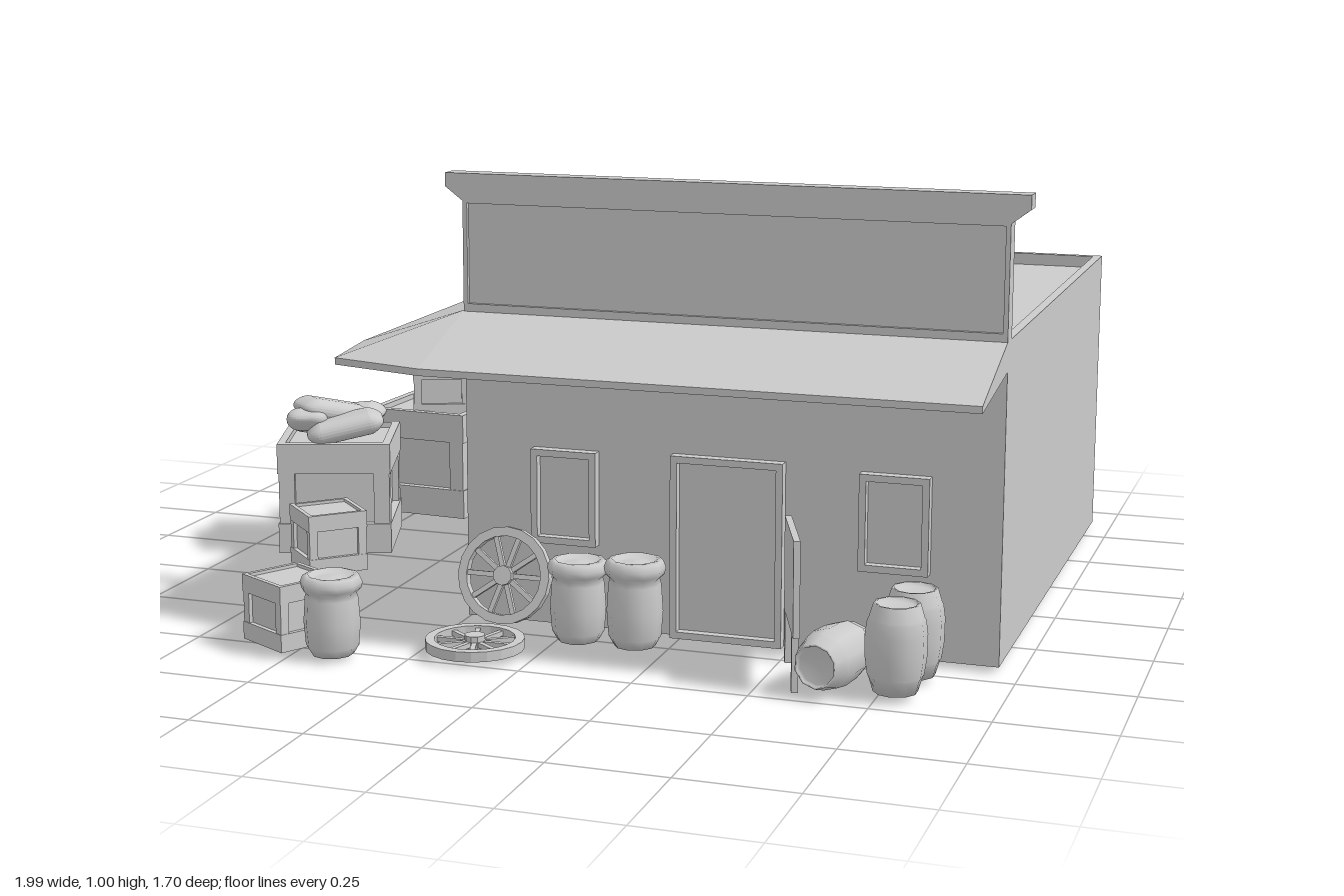
import * as THREE from 'three';
import { RoundedBoxGeometry } from 'three/addons/geometries/RoundedBoxGeometry.js';

const mat = new THREE.MeshStandardMaterial({ color: 0xcccccc, side: THREE.DoubleSide });
const flat = new THREE.MeshStandardMaterial({ color: 0xcccccc, side: THREE.DoubleSide, flatShading: true });

function add(parent, name, geo, x = 0, y = 0, z = 0, m = flat) {
  const mesh = new THREE.Mesh(geo, m);
  mesh.name = name;
  mesh.position.set(x, y, z);
  parent.add(mesh);
  return mesh;
}
function group(parent, name, x = 0, y = 0, z = 0, ry = 0) {
  const g = new THREE.Group();
  g.name = name;
  g.position.set(x, y, z);
  g.rotation.y = ry;
  parent.add(g);
  return g;
}
// Box given by its lower and upper corners
function box(parent, name, x0, x1, y0, y1, z0, z1) {
  return add(parent, name, new THREE.BoxGeometry(x1 - x0, y1 - y0, z1 - z0),
    (x0 + x1) / 2, (y0 + y1) / 2, (z0 + z1) / 2);
}
const poly = (pts) => new THREE.Shape(pts.map(([x, y]) => new THREE.Vector2(x, y)));
const rect = (x0, x1, y0, y1) => poly([[x0, y0], [x1, y0], [x1, y1], [x0, y1]]);
function ring(outer, hole, depth) {
  outer.holes.push(hole);
  return new THREE.ExtrudeGeometry(outer, { depth, bevelEnabled: false });
}

// Raised frame with a recessed panel, facing +z
function framedOpening(parent, name, w, h, x, y, z, ry = 0, trim = 0.015) {
  const g = group(parent, name, x, y, z, ry);
  add(g, 'frame', ring(rect(-w / 2, w / 2, 0, h), rect(-w / 2 + trim, w / 2 - trim, trim, h - trim), 0.055), 0, 0, -0.03);
  box(g, 'panel', -w / 2 + trim, w / 2 - trim, trim, h - trim, -0.026, 0.004);
  return g;
}

// Sloping canopy that wraps the front and one side, swept through wedge sections
function awningGeometry() {
  const inner = [[-0.24, -0.85], [-0.24, 0.44], [-0.24, 0.44], [-0.24, 0.44], [0.955, 0.44]];
  const outer = [[-0.49, -0.85], [-0.49, 0.43], [-0.46, 0.64], [-0.24, 0.7], [0.955, 0.7]];
  const pos = [], idx = [];
  inner.forEach(([ix, iz], i) => {
    const [ox, oz] = outer[i];
    pos.push(ix, 0.705, iz, ox, 0.62, oz, ox, 0.605, oz, ix, 0.64, iz);
  });
  for (let s = 0; s < 4; s++) for (let k = 0; k < 4; k++) {
    const a = s * 4 + k, b = s * 4 + (k + 1) % 4;
    idx.push(a, b, b + 4, a, b + 4, a + 4);
  }
  idx.push(0, 2, 1, 0, 3, 2, 16, 17, 18, 16, 18, 19);
  const g = new THREE.BufferGeometry();
  g.setAttribute('position', new THREE.Float32BufferAttribute(pos, 3));
  g.setIndex(idx);
  const out = g.toNonIndexed();
  out.computeVertexNormals();
  return out;
}

// Crate: wide bands at bottom and top, corner posts, sunken lid
function crate(parent, x, y, z, s, h, ry) {
  const g = group(parent, 'crate', x, y, z, ry);
  const r = s / 2, t = s * 0.07, i = r - t, band = h * 0.27;
  box(g, 'body', -i, i, 0.004, h - t * 0.7, -i, i);
  for (const y0 of [0, h - band])
    add(g, 'band', ring(rect(-r, r, -r, r), rect(-i, i, -i, i), band), 0, y0 + band, 0).rotation.x = Math.PI / 2;
  for (const sx of [-1, 1]) for (const sz of [-1, 1])
    add(g, 'cornerPost', new THREE.BoxGeometry(s * 0.14, h - band, s * 0.14), sx * (r - s * 0.08), h / 2, sz * (r - s * 0.08));
}

const lathe = (pts, n) => new THREE.LatheGeometry(pts.map(([x, y]) => new THREE.Vector2(x, y)), n);
const barrelGeo = lathe([[0, 0], [0.046, 0], [0.055, 0.03], [0.058, 0.035], [0.063, 0.07], [0.064, 0.12], [0.06, 0.15],
  [0.057, 0.155], [0.048, 0.185], [0.043, 0.185], [0.041, 0.175], [0, 0.175]], 10);
const sackGeo = lathe([[0, 0], [0.045, 0], [0.057, 0.02], [0.061, 0.07], [0.057, 0.125], [0.054, 0.135], [0.064, 0.145],
  [0.067, 0.158], [0.061, 0.172], [0.05, 0.175], [0.045, 0.165], [0.025, 0.168], [0, 0.17]], 10);

// Spoked cart wheel lying in its own xy plane
function wheel(parent, name, x, y, z, rx) {
  const g = group(parent, name, x, y, z);
  g.rotation.x = rx;
  const rim = new THREE.Shape().absarc(0, 0, 0.107, 0, Math.PI * 2);
  const hole = new THREE.Path().absarc(0, 0, 0.087, 0, Math.PI * 2);
  add(g, 'rim', new THREE.ExtrudeGeometry(rim, { depth: 0.022, bevelEnabled: false, curveSegments: 10 }), 0, 0, -0.011)
    .geometry = (rim.holes.push(hole), new THREE.ExtrudeGeometry(rim, { depth: 0.022, bevelEnabled: false, curveSegments: 10 }));
  add(g, 'hub', new THREE.CylinderGeometry(0.022, 0.022, 0.036, 10)).rotation.x = Math.PI / 2;
  for (let i = 0; i < 10; i++) {
    const a = i * Math.PI / 5;
    add(g, 'spoke', new THREE.BoxGeometry(0.075, 0.011, 0.011), 0.053 * Math.cos(a), 0.053 * Math.sin(a), 0).rotation.z = a;
  }
}

export function createModel() {
  const model = new THREE.Group();
  model.name = 'store';

  // Hollow building with a sunken roof behind a low rim
  const house = group(model, 'building');
  add(house, 'walls', ring(rect(-0.24, 0.955, -0.44, 0.85), rect(-0.22, 0.935, -0.42, 0.83), 0.69), 0, 0.013, 0).rotation.x = -Math.PI / 2;
  box(house, 'roof', -0.22, 0.935, 0.655, 0.675, -0.83, 0.42);
  box(house, 'roofRim', -0.22, 0.935, 0.675, 0.703, 0.38, 0.42);

  // Tall false front with flared cornice and recessed panel
  const front = poly([[-0.24, 0.69], [0.955, 0.69], [0.955, 0.945], [0.995, 0.975], [0.995, 1.005], [-0.28, 1.005], [-0.28, 0.975], [-0.24, 0.945]]);
  add(house, 'falseFront', ring(front, rect(-0.23, 0.945, 0.72, 0.94), 0.045), 0, 0, 0.402);
  box(house, 'falseFrontPanel', -0.23, 0.945, 0.72, 0.94, 0.404, 0.438);
  add(house, 'awning', awningGeometry());

  // Doors and windows
  framedOpening(house, 'frontDoor', 0.25, 0.405, 0.365, 0.013, 0.44);
  for (const x of [-0.005, 0.73]) framedOpening(house, 'window', 0.15, 0.21, x, 0.2, 0.44);
  framedOpening(house, 'sideDoor', 0.22, 0.4, -0.24, 0.11, -0.64, -Math.PI / 2);

  // Side porch: deck, steps and railing on two sides
  const porch = group(model, 'sidePorch');
  box(porch, 'deck', -0.44, -0.24, 0.085, 0.11, -0.8, -0.48);
  box(porch, 'step', -0.42, -0.24, 0.045, 0.062, -0.48, -0.41);
  box(porch, 'step', -0.42, -0.24, 0.013, 0.026, -0.41, -0.34);
  for (const y of [0.1, 0.305]) {
    box(porch, 'rail', -0.445, -0.24, y, y + 0.018, -0.8, -0.78);
    box(porch, 'rail', -0.445, -0.425, y, y + 0.018, -0.8, -0.48);
  }
  const baluster = (x, z, y0) => box(porch, 'baluster', x - 0.008, x + 0.008, y0, 0.315, z - 0.008, z + 0.008);
  for (let i = 0; i < 5; i++) baluster(-0.435 + i * 0.043, -0.79, i ? 0.05 : 0.013);
  for (let i = 1; i < 8; i++) baluster(-0.435, -0.79 + i * 0.043, i === 7 ? 0.013 : 0.05);

  // Crates: x, y, z, size, height, turn
  for (const c of [
    [-0.695, 0.013, -0.745, 0.148, 0.145, 0.42], [-0.71, 0.013, -0.495, 0.27, 0.272, -0.07],
    [-0.695, 0.262, -0.472, 0.147, 0.14, 0.42], [-0.897, 0.013, -0.298, 0.143, 0.145, -0.74],
    [-0.797, 0.013, -0.07, 0.275, 0.272, 0.33], [-0.715, 0.013, 0.172, 0.145, 0.145, 0.78],
    [-0.533, 0.013, 0.738, 0.145, 0.145, -0.51]]) crate(model, ...c);

  // Stuffed bags on the large crate: x, y, z, length, width, turn, tilt
  for (const [x, y, z, l, w, ry, rz] of [
    [-0.81, 0.315, -0.135, 0.2, 0.1, 0.25, 0.1], [-0.86, 0.32, -0.03, 0.18, 0.1, -1.2, 0.25],
    [-0.755, 0.315, -0.015, 0.19, 0.12, 0.5, 0.2], [-0.81, 0.34, -0.06, 0.19, 0.11, 0.9, -0.25]]) {
    const geo = new RoundedBoxGeometry(l, 0.07, w, 4, 0.034);
    const p = geo.attributes.position;
    for (let i = 0; i < p.count; i++) {
      const u = Math.abs(p.getX(i)) / (l / 2);
      p.setY(i, p.getY(i) * (1 - 0.5 * u * u));
    }
    geo.computeVertexNormals();
    add(model, 'bag', geo, x, y, z, mat).rotation.set(0, ry, rz);
  }

  // Open sacks and barrels
  for (const [x, z, h] of [[-0.41, 0.785, 1], [0.05, 0.52, 1.03], [0.18, 0.52, 1.1]])
    add(model, 'sack', sackGeo, x, 0.008, z, mat).scale.y = h;
  for (const [x, z] of [[0.785, 0.66], [0.795, 0.54]]) add(model, 'barrel', barrelGeo, x, 0.013, z, mat);
  add(model, 'lyingBarrel', barrelGeo, 0.675, 0.073, 0.56, mat).rotation.set(Math.PI / 2, 0, 0.2);

  // Cart wheels: one leaning on the wall, one on the ground
  wheel(model, 'leaningWheel', -0.13, 0.128, 0.495, -0.25);
  wheel(model, 'groundWheel', -0.13, 0.026, 0.67, Math.PI / 2);

  // Standing sign board on legs
  const sign = group(model, 'signBoard', 0.55, 0, 0.6, -1.235);
  const board = add(sign, 'board', new THREE.BoxGeometry(0.265, 0.2, 0.014), 0, 0.217, 0);
  board.rotation.z = 0.05;
  for (const x of [-0.1, 0.1]) box(sign, 'leg', x - 0.008, x + 0.008, 0, 0.16, -0.007, 0.007);
  return model;
}
